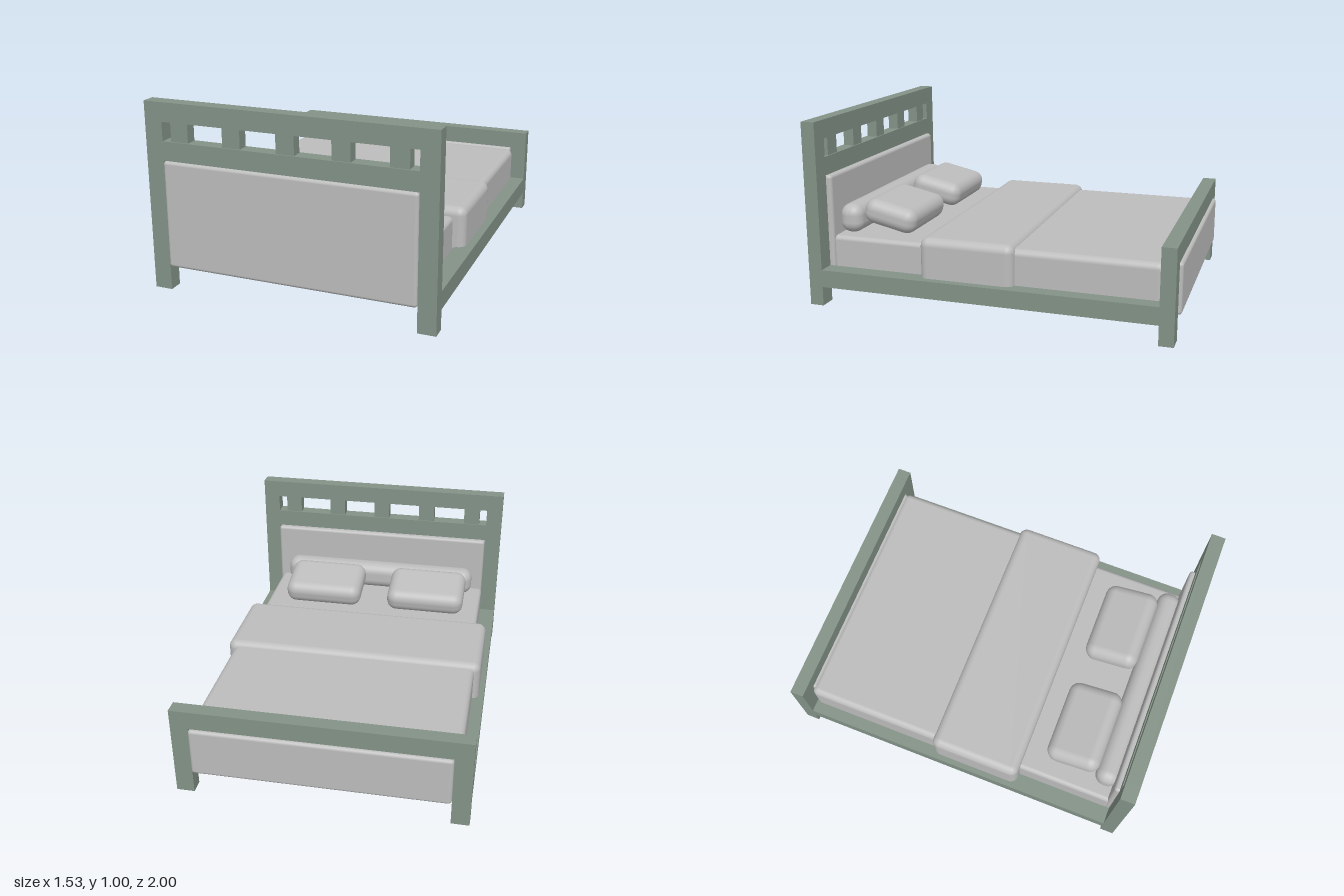
import * as THREE from 'three';
import { RoundedBoxGeometry } from 'three/addons/geometries/RoundedBoxGeometry.js';

export function createModel() {
  const bed = new THREE.Group();
  bed.name = 'bed';
  const wood = new THREE.MeshStandardMaterial({ color: 0x839287 });
  wood.name = 'sage painted wood';
  const fabric = new THREE.MeshStandardMaterial({ color: 0xbcbcbc });
  fabric.name = 'pale grey fabric';

  // Boxes are given by their [min, max] range on each axis; a radius makes them soft
  const box = (name, material, x, y, z, radius = 0) => {
    const size = [x, y, z].map(([a, b]) => b - a);
    const geometry = radius
      ? new RoundedBoxGeometry(...size, 4, radius)
      : new THREE.BoxGeometry(...size);
    const mesh = new THREE.Mesh(geometry, material);
    mesh.name = name;
    mesh.position.set(...[x, y, z].map(([a, b]) => (a + b) / 2));
    bed.add(mesh);
    return mesh;
  };

  const inner = 0.67, outer = 0.765;
  const span = [-inner, inner];
  const headZ = [0.912, 0.988], footZ = [-0.982, -0.906];

  // Posts and side rails, mirrored
  for (const [side, x] of [['left', [inner, outer]], ['right', [-outer, -inner]]]) {
    box(`${side}HeadPost`, wood, x, [0, 1], headZ);
    box(`${side}FootPost`, wood, x, [0, 0.5], footZ);
    box(`${side}SideRail`, wood, x, [0.105, 0.2], [footZ[1], headZ[0]]);
  }

  // Headboard with a row of short spacer blocks
  box('headTopRail', wood, span, [0.9, 1], headZ);
  box('headLowerRail', wood, span, [0.7, 0.8], headZ);
  for (let i = -2; i <= 2; i++) {
    const x = i * 0.2875 - 0.002;
    box('headSpacer', wood, [x - 0.048, x + 0.048], [0.8, 0.9], [0.92, 0.98]);
  }
  box('headPanel', fabric, span, [0.13, 0.7], [0.882, 1], 0.018);

  // Footboard
  box('footTopRail', wood, span, [0.4, 0.5], footZ);
  box('footPanel', fabric, span, [0.13, 0.4], [-1, -0.89], 0.018);

  // Base and bedding
  box('baseBoard', wood, span, [0.15, 0.165], [-0.9, 0.9]);
  box('mattress', fabric, [-0.672, 0.655], [0.155, 0.365], [-0.88, 0.9], 0.025);
  box('duvet', fabric, [-0.7, 0.685], [0.155, 0.39], [-0.91, 0.3], 0.035);
  box('foldedBlanket', fabric, [-0.735, 0.722], [0.155, 0.415], [-0.15, 0.365], 0.045);

  // Pillows leaning on a long bolster
  box('bolster', fabric, [-0.605, 0.59], [0.36, 0.52], [0.768, 0.9], 0.06);
  for (const [side, x] of [['left', 0.3], ['right', -0.34]]) {
    const pillow = box(`${side}Pillow`, fabric, [x - 0.235, x + 0.235],
      [0.382, 0.522], [0.473, 0.783], 0.06);
    pillow.rotation.x = -0.22;
  }
  return bed;
}
